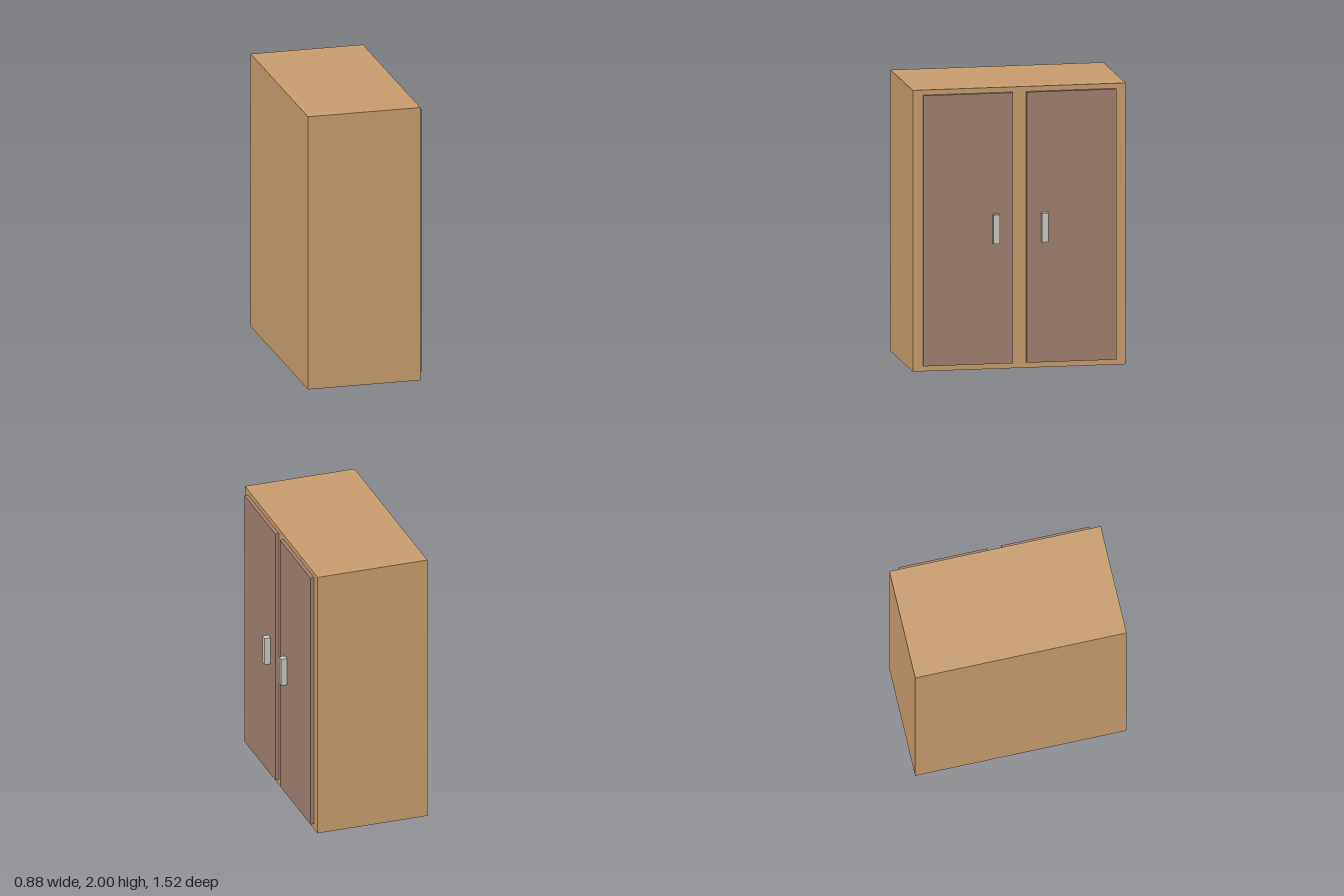
import * as THREE from 'three';

const wood = new THREE.MeshStandardMaterial({ color: 0xc69c6d });
wood.name = 'lightWood';
const panel = new THREE.MeshStandardMaterial({ color: 0xa07f70 });
panel.name = 'brownPanel';
const metal = new THREE.MeshStandardMaterial({ color: 0xc8c8c2 });
metal.name = 'paleMetal';

// Box given by its minimum and maximum corners
function box(name, material, min, max) {
  const size = max.map((v, i) => v - min[i]);
  const mesh = new THREE.Mesh(new THREE.BoxGeometry(...size), material);
  mesh.position.set(...max.map((v, i) => (v + min[i]) / 2));
  mesh.name = name;
  return mesh;
}

export function createModel() {
  const cabinet = new THREE.Group();
  cabinet.name = 'cabinet';

  // Solid carcass; the doors are on its +x side
  cabinet.add(box('carcass', wood, [-0.443, 0, -0.758], [0.371, 2, 0.758]));

  // A mirrored pair of doors, each with a handle near the middle
  for (const [side, s] of [['front', 1], ['back', -1]]) {
    const span = (a, b) => (s > 0 ? [a, b] : [-b, -a]);
    const [d0, d1] = span(0.049, 0.687);
    const [h0, h1] = span(0.15, 0.196);
    cabinet.add(
      box(side + 'Door', panel, [0.371, 0.04, d0], [0.398, 1.964, d1]),
      box(side + 'Handle', metal, [0.395, 0.9, h0], [0.441, 1.106, h1]),
    );
  }
  return cabinet;
}
